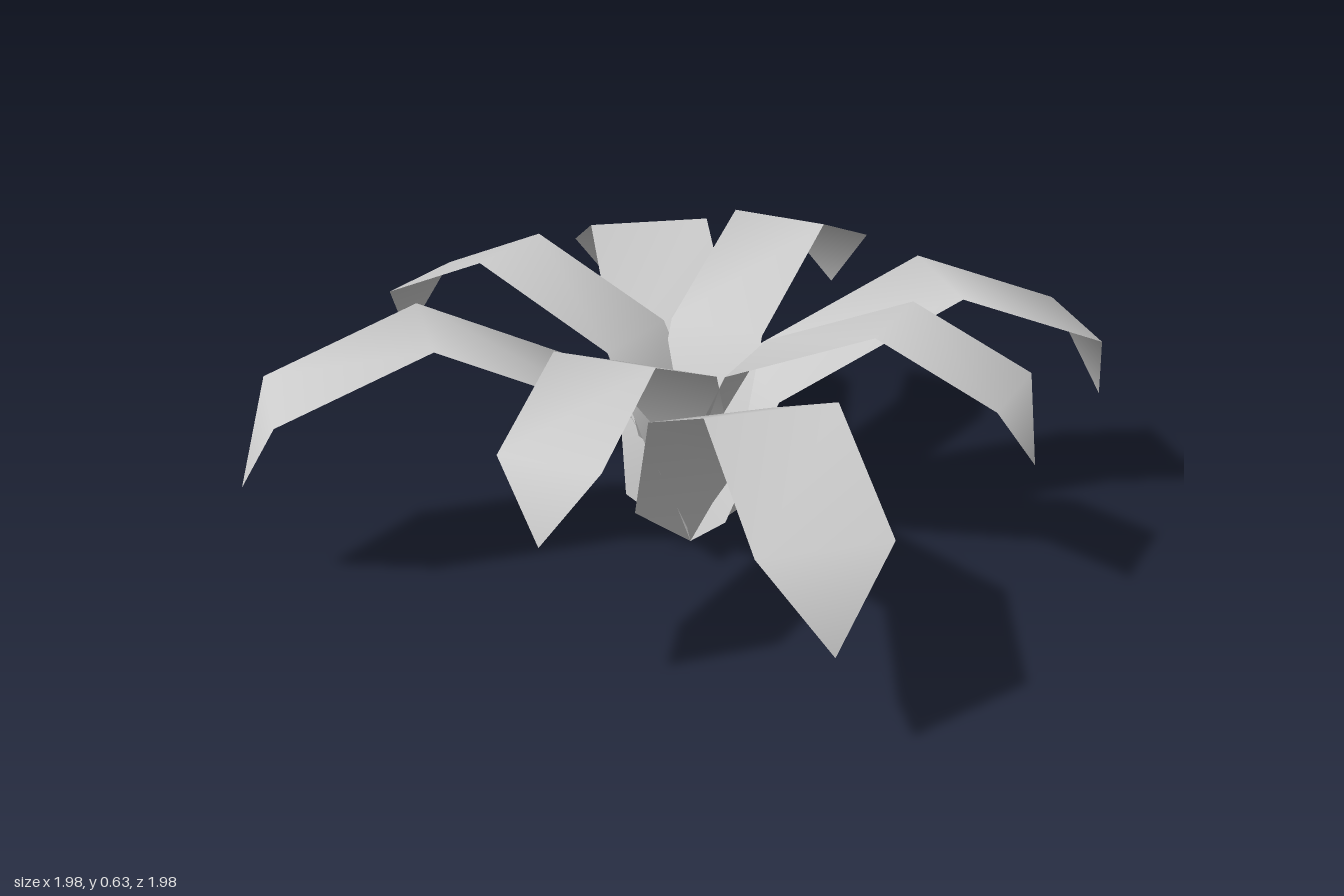
import * as THREE from 'three';

// Leaf midrib as [distance outward, height, half width]
const RIB = [
  [0, 0, 0],
  [0.04, 0.11, 0.14],
  [0.16, 0.385, 0.14],
  [0.58, 0.58, 0.14],
  [0.92, 0.44, 0.14],
  [0.99, 0.245, 0],
];

// Folded strip pointed at both ends, growing from the origin towards +z
function leafGeometry() {
  const positions = [];
  const index = [];
  const last = RIB.length - 1;
  RIB.forEach(([out, up, half], i) => {
    if (half === 0) positions.push(0, up, out);
    else positions.push(-half, up, out, half, up, out);
    if (i > 1 && i < last) {
      const l = 2 * i - 3; // left corner of the previous fold
      index.push(l, l + 2, l + 1, l + 1, l + 2, l + 3);
    }
  });
  const tip = positions.length / 3 - 1;
  index.push(0, 1, 2, tip - 2, tip, tip - 1);
  const geometry = new THREE.BufferGeometry();
  geometry.setAttribute('position', new THREE.Float32BufferAttribute(positions, 3));
  geometry.setIndex(index);
  geometry.computeVertexNormals();
  return geometry;
}

export function createModel() {
  const plant = new THREE.Group();
  plant.name = 'plant';
  const geometry = leafGeometry();
  const material = new THREE.MeshStandardMaterial({ color: 0xcccccc, side: THREE.DoubleSide });

  function addLeaf(name, yaw, droop, scale, lift) {
    const leaf = new THREE.Mesh(geometry, material);
    leaf.name = name;
    leaf.rotation.order = 'YXZ';
    leaf.rotation.y = THREE.MathUtils.degToRad(yaw);
    leaf.rotation.x = THREE.MathUtils.degToRad(droop);
    leaf.scale.setScalar(scale);
    leaf.position.y = lift;
    plant.add(leaf);
  }

  // Four large outer leaves: name, yaw, droop
  [
    ['frontLeaf', 0, 0],
    ['leftLeaf', 90, 0],
    ['backLeaf', 173.3, 3],
    ['rightLeaf', 273 - 6, 0],
  ].forEach(([name, yaw, droop]) => addLeaf(name, yaw, droop, 1, 0));

  // Four smaller inner leaves, set higher between the outer ones
  [
    ['frontLeftInnerLeaf', 49, 1],
    ['backLeftInnerLeaf', 138, 1],
    ['backRightInnerLeaf', 221, 3],
    ['frontRightInnerLeaf', 322, 0],
  ].forEach(([name, yaw, droop]) => addLeaf(name, yaw, droop, 0.8, 0.17));

  return plant;
}
